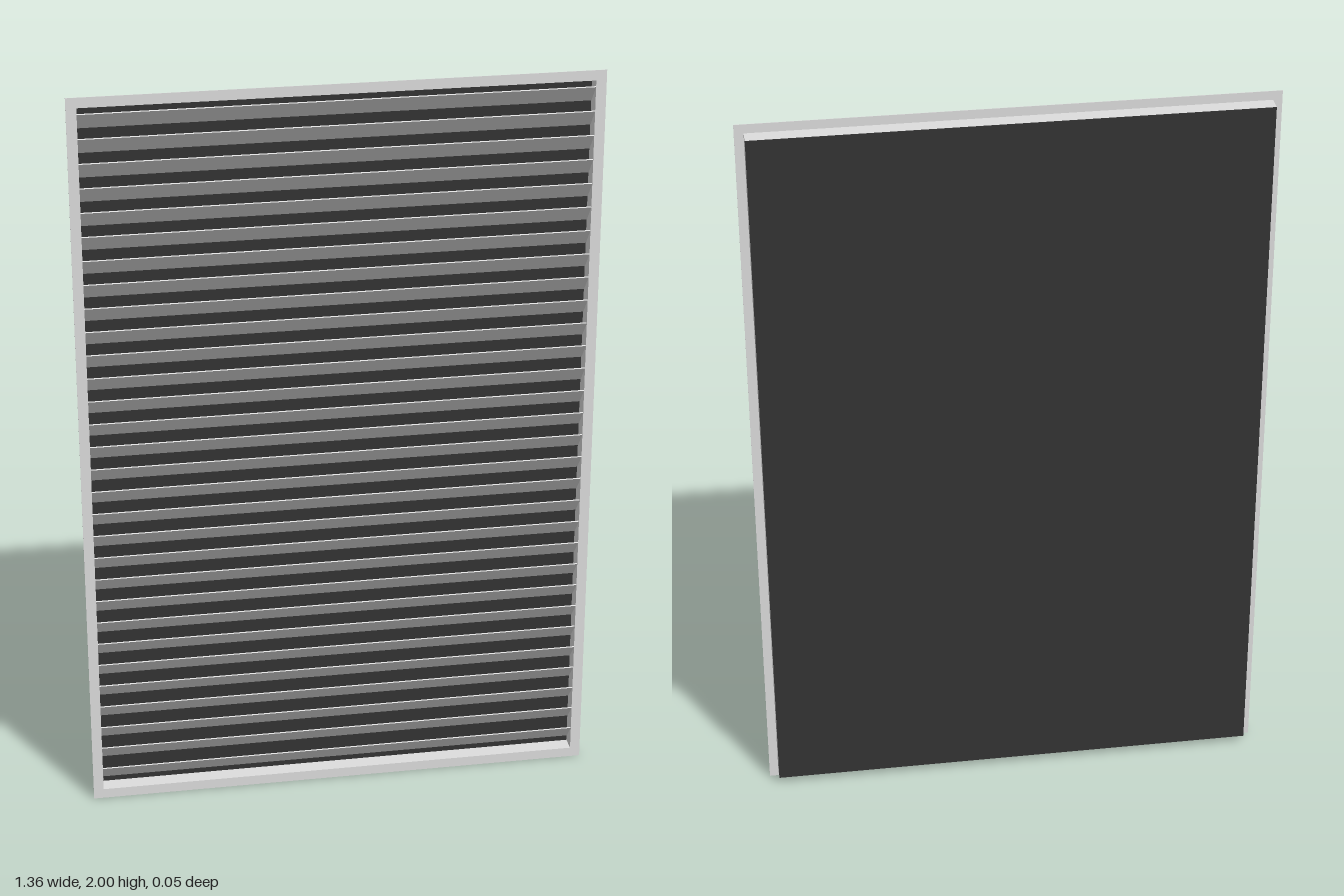
import * as THREE from 'three';

const W = 1.36, H = 2, D = 0.045;         // overall size
const IW = 1.312, IH = 1.952;             // sleeve outside size
const WALL = 0.003, SHEET = 0.0015;       // sleeve wall, flange and panel thickness
const SLATS = 30, PITCH = 0.0643;

function material(name, color) {
  const m = new THREE.MeshStandardMaterial({ color });
  m.name = name;
  return m;
}

// Rectangular ring extruded along z
function ring(w, h, border, depth) {
  const rect = (Kind, a, b) => new Kind([
    new THREE.Vector2(-a / 2, -b / 2), new THREE.Vector2(a / 2, -b / 2),
    new THREE.Vector2(a / 2, b / 2), new THREE.Vector2(-a / 2, b / 2),
  ]);
  const shape = rect(THREE.Shape, w, h);
  shape.holes.push(rect(THREE.Path, w - 2 * border, h - 2 * border));
  return new THREE.ExtrudeGeometry(shape, { depth, bevelEnabled: false });
}

export function createModel() {
  const group = new THREE.Group();
  group.name = 'louvreVent';
  const frameMat = material('light grey', 0xdddddd);
  const backMat = material('backing black', 0x333333);

  const add = (name, geometry, mat, y, z) => {
    const mesh = new THREE.Mesh(geometry, mat);
    mesh.name = name;
    mesh.position.set(0, y, z);
    group.add(mesh);
    return mesh;
  };

  // Thin front flange and the sleeve behind it
  add('flange', ring(W, H, (W - IW) / 2 + WALL, SHEET), frameMat, H / 2, D / 2 - SHEET);
  add('sleeve', ring(IW, IH, WALL, D - 2 * SHEET), frameMat, H / 2, -D / 2 + SHEET);

  // Dark panel closing the back
  add('backPanel', new THREE.BoxGeometry(IW, IH, SHEET), backMat, H / 2, -D / 2 + SHEET / 2);

  // Tilted slats, top edge towards the front
  const slatGeo = new THREE.BoxGeometry(IW - 2 * WALL, 0.062, 0.003);
  for (let i = 0; i < SLATS; i++) {
    const y = H / 2 + (i - (SLATS - 1) / 2) * PITCH;
    add('slat', slatGeo, frameMat, y, 0.0005).rotation.x = THREE.MathUtils.degToRad(40);
  }
  return group;
}
